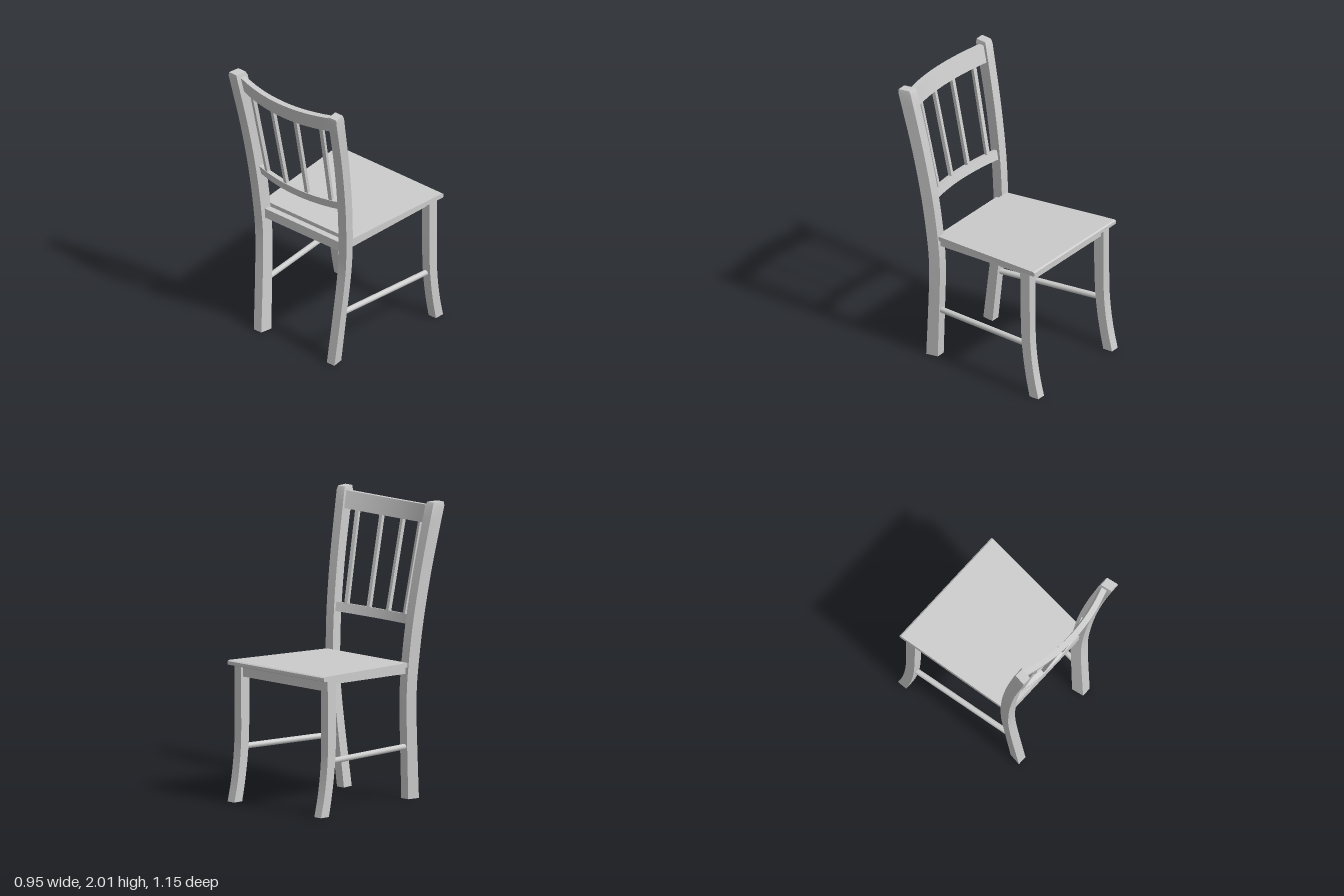
import * as THREE from 'three';
import { toCreasedNormals } from 'three/addons/utils/BufferGeometryUtils.js';

const material = new THREE.MeshStandardMaterial({ color: 0xcccccc });

// Skin a row of four-cornered rings into a closed bar.
function loft(name, rings) {
  const v = rings.flat(2), idx = [];
  const quad = (a, b, c, d) => idx.push(a, b, c, a, c, d);
  for (let i = 0; i < rings.length - 1; i++) {
    for (let k = 0; k < 4; k++) {
      const n = (k + 1) % 4, o = i * 4;
      quad(o + k, o + n, o + 4 + n, o + 4 + k);
    }
  }
  const e = (rings.length - 1) * 4;
  quad(3, 2, 1, 0);
  quad(e, e + 1, e + 2, e + 3);
  // Turn the faces outward if the enclosed volume comes out negative.
  const p = (i) => new THREE.Vector3().fromArray(v, i * 3);
  let volume = 0;
  for (let i = 0; i < idx.length; i += 3) volume += p(idx[i]).dot(p(idx[i + 1]).cross(p(idx[i + 2])));
  if (volume < 0) idx.reverse();
  const g = new THREE.BufferGeometry();
  g.setAttribute('position', new THREE.Float32BufferAttribute(v, 3));
  g.setIndex(idx);
  const mesh = new THREE.Mesh(toCreasedNormals(g, 0.6), material);
  mesh.name = name;
  return mesh;
}

// Horizontal ring at height y.
const slab = (y, x0, x1, z0, z1, skew = 0) => [
  [x0 - skew, y, z0], [x1 - skew, y, z0], [x1, y, z1], [x0, y, z1],
];

// Smooth run through [height, near z, far z] points.
const smooth = (points, n) =>
  new THREE.CatmullRomCurve3(points.map((p) => new THREE.Vector3(...p))).getPoints(n);

const mirrorRings = (rings, s) => rings.map((r) => r.map(([x, y, z]) => [s * x, y, z]));

// Rail bowed towards the back; section holds [y, z] corners at mid-span.
function bowedRail(name, half, bow, rise, section) {
  const rings = [];
  for (let i = 0; i <= 16; i++) {
    const t = i / 8 - 1;
    rings.push(section.map(([y, z]) => [t * half, y + rise * t * t, z - bow * t * t]));
  }
  return loft(name, rings);
}

export function createModel() {
  const chair = new THREE.Group();
  chair.name = 'chair';

  // Back posts: curved, splayed, with a softened top
  const postProfile = [
    [0, 0.33, 0.415], [0.386, 0.3, 0.379], [0.6, 0.284, 0.362], [0.76, 0.279, 0.357],
    [0.94, 0.287, 0.367], [1.2, 0.312, 0.394], [1.55, 0.368, 0.452], [1.975, 0.455, 0.547],
  ];
  const post = smooth(postProfile, 28).map(({ x: y, y: z0, z: z1 }) =>
    slab(y, 0.29 + 0.0575 * y, 0.357 + 0.061 * y, z0, z1, 0.014));
  post.push(slab(2, 0.409, 0.474, 0.467, 0.546, 0.012));

  // Front legs: straight above, kicked forward at the foot
  const legProfile = [
    [0, -0.572, -0.5], [0.13, -0.542, -0.473], [0.26, -0.521, -0.452],
    [0.4, -0.508, -0.437], [0.6, -0.505, -0.43], [0.915, -0.505, -0.428],
  ];
  const leg = smooth(legProfile, 20).map(({ x: y, y: z0, z: z1 }) => slab(y, 0.385, 0.45, z0, z1));

  // Side aprons, tapering towards the back
  const sideApron = [[-0.44, 0.42, 0.883, 0.92], [0.31, 0.37, 0.856, 0.905]].map(
    ([z, x, y0, y1]) => [[x - 0.045, y0, z], [x, y0, z], [x, y1, z], [x - 0.045, y1, z]]);

  for (const [side, s] of [['left', 1], ['right', -1]]) {
    chair.add(loft(side + 'BackPost', mirrorRings(post, s)));
    chair.add(loft(side + 'FrontLeg', mirrorRings(leg, s)));
    chair.add(loft(side + 'SideApron', mirrorRings(sideApron, s)));

    // Round stretcher from front leg to back post
    const path = new THREE.LineCurve3(
      new THREE.Vector3(s * 0.412, 0.365, -0.45), new THREE.Vector3(s * 0.335, 0.358, 0.32));
    const stretcher = new THREE.Mesh(new THREE.TubeGeometry(path, 1, 0.02, 12), material);
    stretcher.name = side + 'Stretcher';
    chair.add(stretcher);
  }

  // Seat: thin tapered board, slightly raised at the front
  const seatRing = (w, y0, y1, z) => [[-w, y0, z], [w, y0, z], [w, y1, z], [-w, y1, z]];
  chair.add(loft('seat', [
    seatRing(0.463, 0.922, 0.944, -0.553), seatRing(0.462, 0.917, 0.951, -0.543),
    seatRing(0.388, 0.901, 0.932, 0.288),
  ]));

  // Front and back aprons
  chair.add(loft('frontApron', [slab(0.84, -0.4, 0.4, -0.485, -0.445), slab(0.918, -0.4, 0.4, -0.485, -0.445)]));
  chair.add(loft('backApron', [slab(0.838, -0.34, 0.34, 0.29, 0.335), slab(0.906, -0.34, 0.34, 0.29, 0.335)]));

  // Backrest rails
  chair.add(bowedRail('topRail', 0.42, 0.07, 0.02,
    [[1.842, 0.508], [1.838, 0.548], [1.955, 0.579], [1.958, 0.539]]));
  chair.add(bowedRail('lowerRail', 0.365, 0.05, 0.01,
    [[1.175, 0.372], [1.17, 0.402], [1.232, 0.418], [1.237, 0.388]]));

  // Backrest spindles, fanned out towards the top
  for (const [x0, x1] of [[-0.28, -0.304], [-0.093, -0.102], [0.093, 0.102], [0.28, 0.304]]) {
    const end = (x, y, z, half, bow) => {
      const zc = z - bow * (x / half) ** 2, slope = (-2 * bow * x) / half ** 2;
      return [[-1, -1], [1, -1], [1, 1], [-1, 1]].map(([a, b]) =>
        [x + a * 0.013 - b * 0.013 * slope, y, zc + b * 0.013 + a * 0.013 * slope]);
    };
    chair.add(loft('spindle', [end(x0, 1.215, 0.395, 0.365, 0.05), end(x1, 1.88, 0.538, 0.42, 0.07)]));
  }

  // Very slight sideways lean of the whole frame
  chair.rotation.z = -0.007;
  chair.position.x = -0.016;
  const model = new THREE.Group();
  model.name = 'diningChair';
  model.add(chair);
  return model;
}
